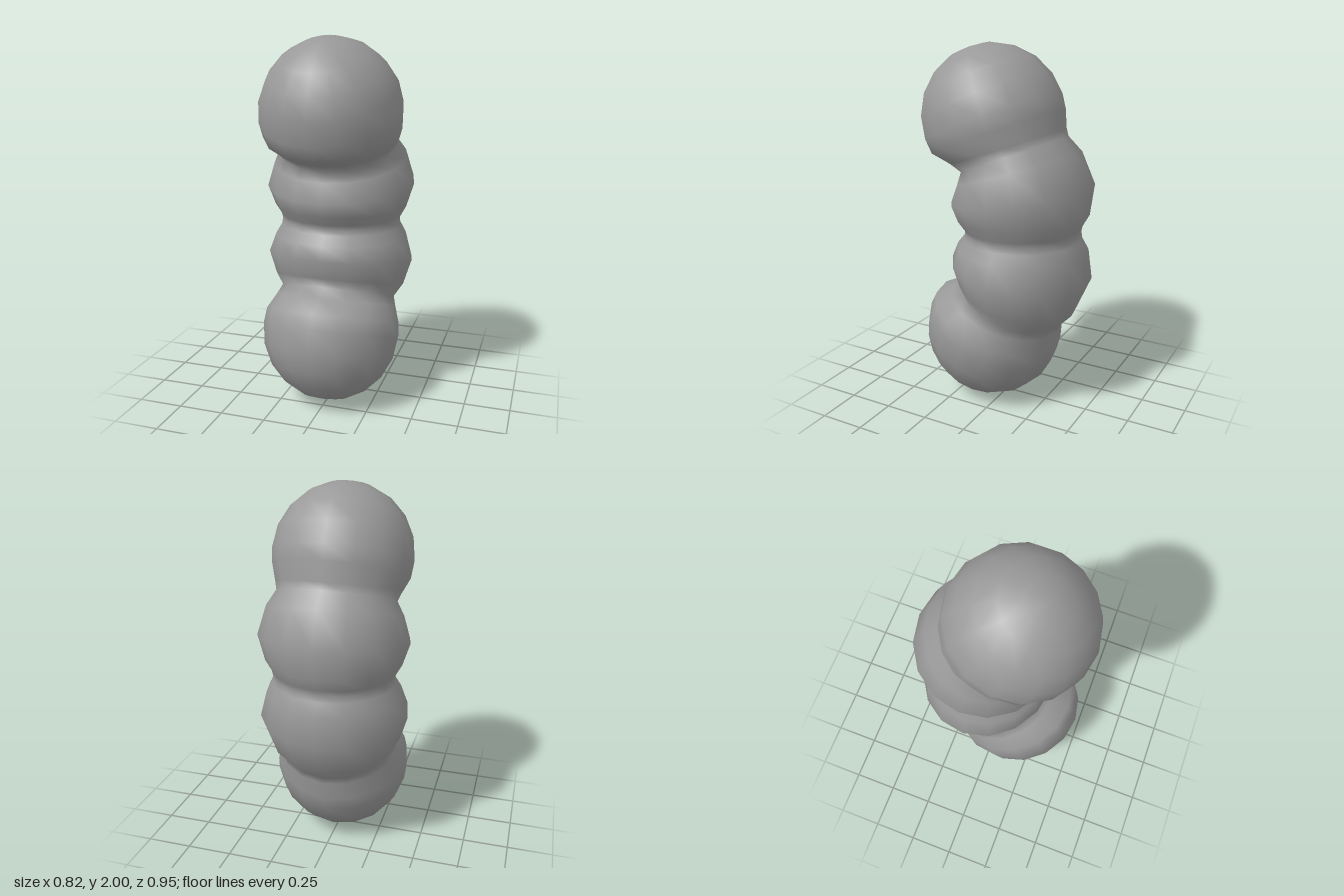
import * as THREE from 'three';
import { mergeVertices } from 'three/addons/utils/BufferGeometryUtils.js';

const SIDES = 16;

// A ring is [front z, front y, back z, back y, half width].
// End ball: rings around a tilted axis, from the pole down to the neck.
function ballRings(cz, cy, r, tilt) {
  return [0, 18, 36, 54, 72, 90, 102].map((deg) => {
    const a = THREE.MathUtils.degToRad(deg);
    return [
      cz + r * Math.sin(tilt + a), cy + r * Math.cos(tilt + a),
      cz + r * Math.sin(tilt - a), cy + r * Math.cos(tilt - a),
      0.98 * r * Math.sin(a),
    ];
  });
}

// Closed skin over a stack of rings, listed from top to bottom;
// the first and last rings are single points
function loft(rings) {
  const pos = [], index = [];
  rings.forEach(([fz, fy, bz, by, w], i) => {
    for (let j = 0; j < SIDES; j++) {
      const a = (j / SIDES) * Math.PI * 2;
      const t = (1 + Math.sin(a)) / 2;
      pos.push(w * Math.cos(a), by + (fy - by) * t, bz + (fz - bz) * t);
      if (i === rings.length - 1) continue;
      const p = i * SIDES + j, q = i * SIDES + (j + 1) % SIDES;
      if (i > 0) index.push(p, q, p + SIDES);
      if (i < rings.length - 2) index.push(q, q + SIDES, p + SIDES);
    }
  });
  let g = new THREE.BufferGeometry();
  g.setAttribute('position', new THREE.Float32BufferAttribute(pos, 3));
  g.setIndex(index);
  g = mergeVertices(g, 1e-4);
  g.computeVertexNormals();
  return g;
}

export function createModel() {
  const group = new THREE.Group();
  group.name = 'segmentedBody';

  // Upper half: end ball, neck crease, bulging middle segment
  const upper = [
    ...ballRings(0.086, 1.611, 0.391, 0.37),
    [0.3, 1.355, -0.31, 1.57, 0.342],
    [0.235, 1.315, -0.322, 1.53, 0.325],
    [0.252, 1.26, -0.4, 1.45, 0.37],
    [0.29, 1.155, -0.477, 1.275, 0.412],
    [0.262, 1.08, -0.457, 1.1, 0.372],
    [0.222, 1.03, -0.42, 1.035, 0.34],
  ];
  const waist = [0.216, 1.005, -0.414, 1.005, 0.334];

  // Lower half mirrors the upper one
  const lower = upper.map(([fz, fy, bz, by, w]) => [fz, 2.004 - fy, bz, 2.004 - by, w]).reverse();

  const body = new THREE.Mesh(
    loft([...upper, waist, ...lower]),
    new THREE.MeshStandardMaterial({ color: 0x999999 })
  );
  body.name = 'bodySegments';
  group.add(body);
  return group;
}
